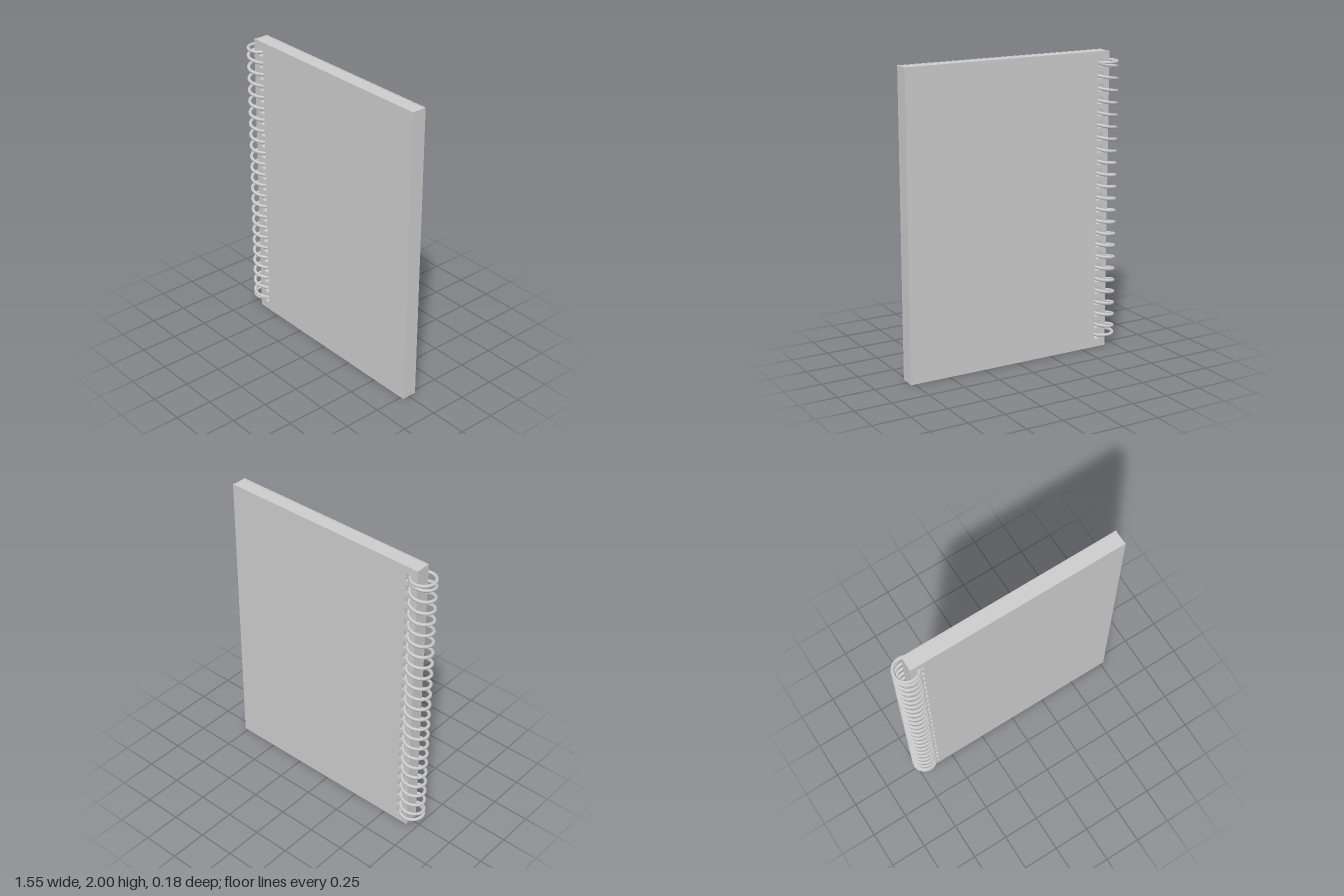
import * as THREE from 'three';

const TURNS = 23, TOP = 1.925, BOTTOM = 0.08;
const PITCH = (TOP - BOTTOM) / TURNS;
const AXIS_X = -0.688, COIL_R = 0.0775, WIRE_R = 0.011;

// Spiral wire: one flat closing turn at each end, a steady helix between
class Spiral extends THREE.Curve {
  getPoint(t, target = new THREE.Vector3()) {
    const turn = t * (TURNS + 2);
    const a = turn * Math.PI * 2;
    const y = TOP - PITCH * THREE.MathUtils.clamp(turn - 1, 0, TURNS);
    return target.set(AXIS_X + COIL_R * Math.cos(a), y, -COIL_R * Math.sin(a));
  }
}

function rect(path, x0, y0, x1, y1) {
  path.moveTo(x0, y0);
  path.lineTo(x1, y0);
  path.lineTo(x1, y1);
  path.lineTo(x0, y1);
  path.closePath();
  return path;
}

// Sheet with a column of square punch holes
function punchedSheet(inset, z0, z1) {
  const shape = rect(new THREE.Shape(), -0.685 + inset, inset, 0.775 - inset, 2 - inset);
  for (let i = 0; i <= TURNS; i++) {
    const y = TOP - PITCH * i;
    shape.holes.push(rect(new THREE.Path(), -0.645, y - 0.025, -0.6, y + 0.025));
  }
  const geometry = new THREE.ExtrudeGeometry(shape, { depth: z1 - z0, bevelEnabled: false });
  return geometry.translate(0, 0, z0);
}

export function createModel() {
  const group = new THREE.Group();
  const material = new THREE.MeshStandardMaterial({ color: 0xcccccc });
  const add = (name, geometry) => {
    const mesh = new THREE.Mesh(geometry, material);
    mesh.name = name;
    group.add(mesh);
    return mesh;
  };

  // Covers and the block of pages between them
  add('frontCover', punchedSheet(0, 0.04, 0.048));
  add('pages', punchedSheet(0.002, -0.044, 0.04));
  add('backCover', punchedSheet(0, -0.052, -0.044));

  // Wire binding with rounded ends
  const spiral = new Spiral();
  add('spiralWire', new THREE.TubeGeometry(spiral, (TURNS + 2) * 36, WIRE_R, 8, false));
  for (const t of [0, 1]) {
    const end = add('wireEnd', new THREE.SphereGeometry(WIRE_R, 10, 8));
    end.position.copy(spiral.getPoint(t));
  }
  return group;
}
